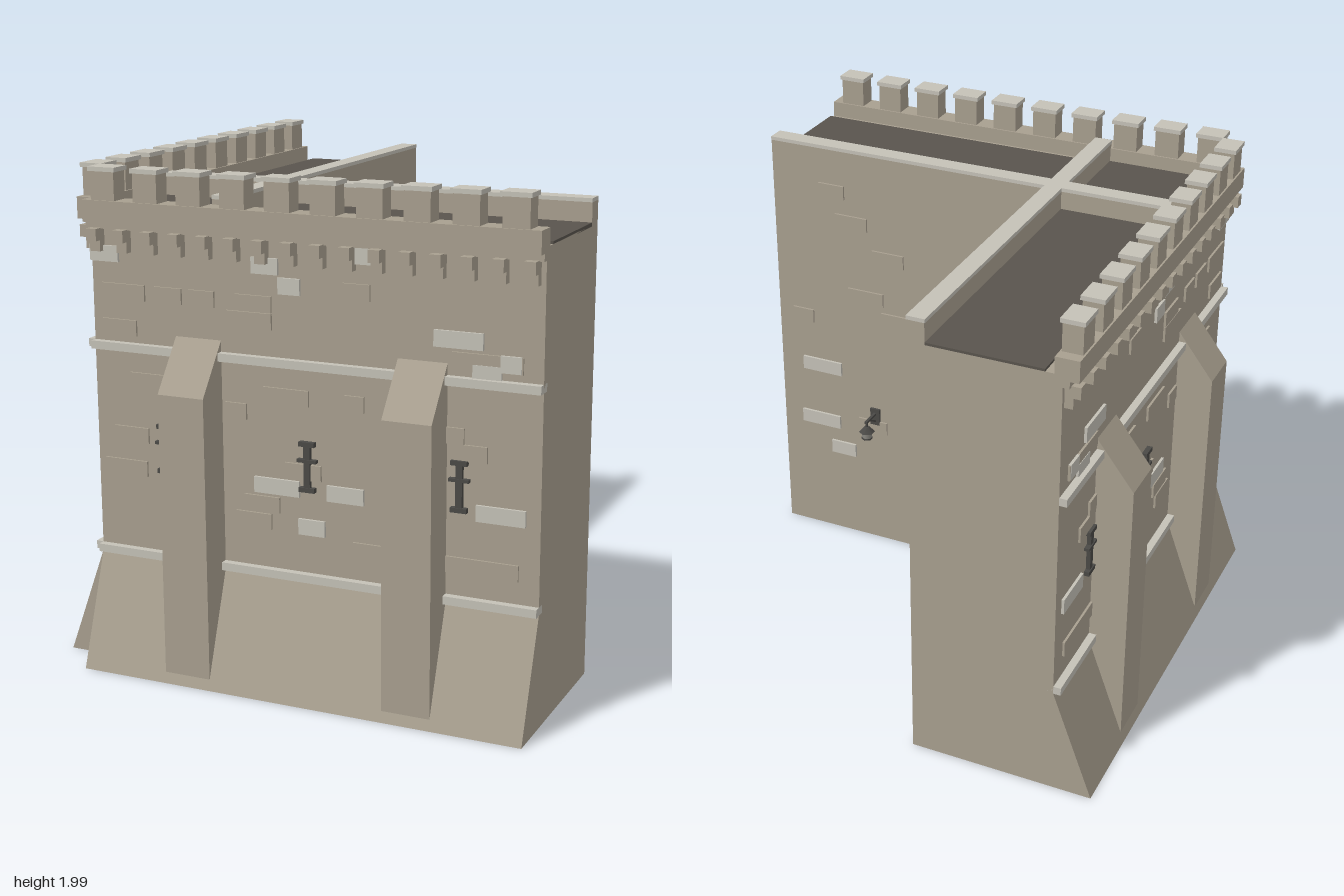
import * as THREE from 'three';

const mat = (name, color) => {
  const m = new THREE.MeshStandardMaterial({ color });
  m.name = name;
  return m;
};

// Raised stones: [along, height, width, pale?]
const OUTER_STONES = [
  [-.775, 1.655, .12, 1], [-.7, 1.51, .19], [-.505, 1.51, .12], [-.72, 1.37, .15], [-.36, 1.51, .11],
  [-.14, 1.51, .15], [-.16, 1.445, .19], [-.09, 1.655, .11, 1], [.01, 1.585, .09, 1], [.28, 1.585, .11],
  [.31, 1.72, .08, 1], [.68, 1.445, .19, 1], [.79, 1.37, .27], [.88, 1.372, .08, 1], [.79, 1.33, .11, 1],
];
const MIDDLE_STONES = [
  [-.605, 1.165, .15], [-.01, 1.165, .19], [.27, 1.165, .08], [-.22, 1.09, .09], [-.68, .945, .15],
  [-.71, .81, .19], [-.51, .945, .07, 1], [-.05, .81, .19, 1], [.235, .81, .15, 1], [.85, .81, .19, 1],
  [.095, .665, .11, 1], [-.15, .665, .15], [-.115, .735, .15], [.06, .88, .15], [.34, .6, .15],
  [.77, .6, .3], [.67, 1.09, .07], [.72, 1.03, .15],
];
const FRONT_INNER_STONES = [
  [.72, 1.7, .12], [.63, 1.57, .15], [.46, 1.43, .15], [.42, 1.14, .15], [.57, 1.23, .17], [.88, 1.085, .1],
  [.795, .846, .19, 1], [.81, .57, .19, 1], [.55, .59, .14], [.7, .44, .12, 1], [0, 1.27, .19],
  [-.14, 1.14, .12], [-.02, .99, .15], [-.11, .93, .12], [.19, .09, .12], [.05, .12, .15], [-.1, .14, .15, 1],
];
const SIDE_INNER_STONES = [
  [.095, 1.49, .19], [.73, 1.49, .09, 1], [.835, 1.275, .19], [-.045, 1.09, .08], [.46, 1.09, .19],
  [-.14, .995, .19], [.84, .57, .19, 1], [.54, .57, .27], [-.17, .5, .09, 1], [.78, .435, .19, 1],
  [.04, .29, .11], [.79, .215, .11, 1], [-.2, .07, .09, 1], [.29, .145, .15], [-.17, .145, .09],
  [.83, .29, .1], [.46, 1.42, .17],
];

const WALL_FACE = .835, INNER_FACE = .25, CORNER = -.835;

export function createModel() {
  const stone = mat('wall stone', 0xa89f8f);
  const pale = mat('pale stone', 0xc4c1b7);
  const roofing = mat('dark roofing', 0x59544d);
  const iron = mat('iron', 0x4a4946);
  const glass = mat('lamp glass', 0x8f8d86);

  // One wing: x runs along it, z is its depth; side = -1 reverses its length
  function wing(name, side, innerStones) {
    const g = new THREE.Group();
    g.name = name;
    const add = (part, geometry, material, parent = g) => {
      const m = new THREE.Mesh(geometry, material);
      m.name = part;
      parent.add(m);
      return m;
    };
    // Box from ranges along the wing, in height and in depth
    const box = (part, m, u0, u1, y0, y1, d0, d1) =>
      add(part, new THREE.BoxGeometry(u1 - u0, y1 - y0, d1 - d0), m)
        .position.set(side * (u0 + u1) / 2, (y0 + y1) / 2, (d0 + d1) / 2);
    // Depth/height profile drawn out along the wing
    const profile = (part, m, u0, u1, pts) => {
      const shape = new THREE.Shape(pts.map(p => new THREE.Vector2(...p)));
      const geo = new THREE.ExtrudeGeometry(shape, { depth: u1 - u0, bevelEnabled: false });
      geo.translate(0, 0, -(u1 - u0) / 2).rotateY(-Math.PI / 2);
      add(part, geo, m).position.x = side * (u0 + u1) / 2;
    };

    // Wall with battered foot, and string courses
    profile('wall', stone, CORNER, 1,
      [[INNER_FACE, 0], [1, 0], [WALL_FACE, .45], [WALL_FACE, 1.8], [INNER_FACE, 1.8]]);
    for (const y of [.45, 1.28]) box('stringCourse', pale, CORNER, 1, y, y + .032, .8, .865);

    // Buttresses with sloped heads
    for (const u of [-.378, .54])
      profile('buttress', stone, u - .097, u + .097,
        [[.7, 0], [.985, 0], [.985, 1.16], [WALL_FACE, 1.355], [.7, 1.355]]);

    // Walkway and inner kerb
    box('walkway', roofing, -.8, 1, 1.795, 1.81, .32, .77);
    box('kerb', stone, -.81, 1, 1.79, 1.885, INNER_FACE, .32);
    box('kerbCap', pale, -.81, 1, 1.885, 1.9, INNER_FACE - .002, .322);

    // Parapet, merlons and corbels
    box('parapetLedge', stone, CORNER, 1, 1.752, 1.78, .8, .86);
    box('parapet', stone, CORNER, 1, 1.78, 1.865, .803, .895);
    for (let i = 0; i < 10; i++) {
      const u = -.747 + i * .1835;
      box('merlon', stone, u - .051, u + .051, 1.86, 1.975, .81, .888);
      box('merlonCap', pale, u - .058, u + .058, 1.975, 1.992, .803, .895);
    }
    for (let i = 0; i < 16; i++) {
      const u = -.8 + i * .1173;
      box('corbelUpper', stone, u - .022, u + .022, 1.708, 1.755, .8, .895);
      box('corbelLower', stone, u - .022, u + .022, 1.665, 1.708, .8, .868);
    }

    // Raised stones on both faces
    const stones = (list, d) => list.forEach(([u, y, w, light]) =>
      box('raisedStone', light ? pale : stone, u - w / 2, u + w / 2, y - .031, y + .031,
        d - (light ? .011 : .009), d + (light ? .011 : .009)));
    stones([...OUTER_STONES, ...MIDDLE_STONES], WALL_FACE);
    stones(innerStones, INNER_FACE);

    // Iron wall anchors
    for (const u of [-.53, .08, .69]) {
      box('anchorShaft', iron, u - .013, u + .013, .81, .995, .83, .852);
      for (const [y, w, h] of [[.815, .032, .018], [.993, .032, .018], [.928, .04, .012]])
        box('anchorBar', iron, u - w, u + w, y - h / 2, y + h / 2, .83, .856);
    }

    // Bracket lamp on the inner face
    const lamp = new THREE.Group();
    lamp.name = 'lamp';
    lamp.position.set(side * .537, 0, .16);
    g.add(lamp);
    const part = (n, geo, m, y, z = 0) => {
      const p = add(n, geo, m, lamp);
      p.position.set(0, y, z);
      return p;
    };
    part('lampPlate', new THREE.BoxGeometry(.045, .08, .012), iron, .645, .085);
    part('lampArm', new THREE.BoxGeometry(.012, .01, .1), iron, .662, .04);
    part('lampBrace', new THREE.BoxGeometry(.008, .008, .085), iron, .642, .05).rotation.x = .5;
    part('lampHanger', new THREE.CylinderGeometry(.006, .006, .04, 6), iron, .648);
    part('lampHood', new THREE.CylinderGeometry(.012, .036, .025, 6).toNonIndexed(), iron, .626);
    part('lampGlass', new THREE.CylinderGeometry(.025, .022, .032, 6), glass, .6);
    part('lampBase', new THREE.CylinderGeometry(.025, .025, .007, 6), iron, .582);
    return g;
  }

  const model = new THREE.Group();
  model.name = 'cornerWall';
  const front = wing('frontWing', 1, FRONT_INNER_STONES);
  const sideWing = wing('sideWing', -1, SIDE_INNER_STONES);
  sideWing.rotation.y = -Math.PI / 2;
  model.add(front, sideWing);
  return model;
}
